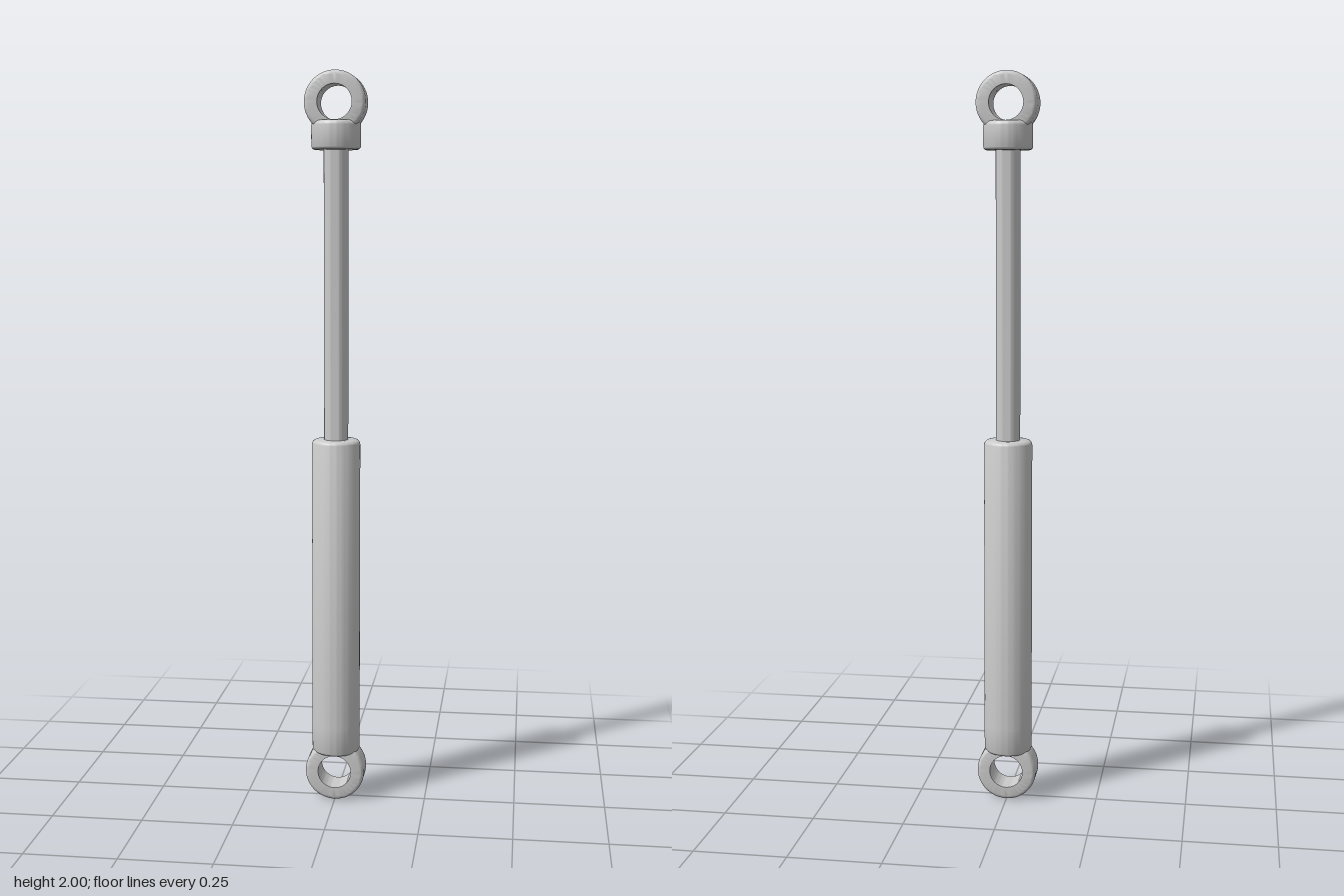
import * as THREE from 'three';
import { toCreasedNormals } from 'three/addons/utils/BufferGeometryUtils.js';

const material = new THREE.MeshStandardMaterial({ color: 0xcccccc });
const SEGMENTS = 64;

function lathe(name, points) {
  const geometry = new THREE.LatheGeometry(points, SEGMENTS);
  const mesh = new THREE.Mesh(toCreasedNormals(geometry, 0.6), material);
  mesh.name = name;
  return mesh;
}

// Quarter-round corner profile from angle a0 to a0 + 90 degrees
function corner(cx, cy, r, a0, steps = 5) {
  return Array.from({ length: steps + 1 }, (_, i) => {
    const a = a0 + (i / steps) * Math.PI / 2;
    return new THREE.Vector2(cx + Math.cos(a) * r, cy + Math.sin(a) * r);
  });
}

// Solid round bar from y0 to y1, with optional rounded bottom and top edges
function bar(name, radius, y0, y1, bottom, top) {
  const points = [new THREE.Vector2(0, y0)];
  if (bottom) points.push(...corner(radius - bottom, y0 + bottom, bottom, -Math.PI / 2));
  else points.push(new THREE.Vector2(radius, y0));
  if (top) points.push(...corner(radius - top, y1 - top, top, 0));
  else points.push(new THREE.Vector2(radius, y1));
  points.push(new THREE.Vector2(0, y1));
  return lathe(name, points);
}

// Mounting ring with its hole along z
function eye(name, y) {
  const outer = 0.082, inner = 0.046, half = 0.041, r = 0.012;
  const points = [
    new THREE.Vector2(inner, -half),
    ...corner(outer - r, -half + r, r, -Math.PI / 2),
    ...corner(outer - r, half - r, r, 0),
    new THREE.Vector2(inner, half),
    new THREE.Vector2(inner, -half),
  ];
  const mesh = lathe(name, points);
  mesh.rotation.x = Math.PI / 2;
  mesh.position.y = y;
  return mesh;
}

export function createModel() {
  const group = new THREE.Group();
  group.name = 'gasStrut';
  group.add(
    eye('lowerEye', 0.083),
    bar('lowerCollar', 0.066, 0.134, 0.21, 0.012, 0),
    bar('cylinderBody', 0.066, 0.208, 1.019, 0, 0.014),
    bar('pistonRod', 0.033, 1.0, 1.81, 0, 0),
    bar('upperCollar', 0.066, 1.795, 1.871, 0.01, 0.012),
    eye('upperEye', 1.918),
  );
  return group;
}
